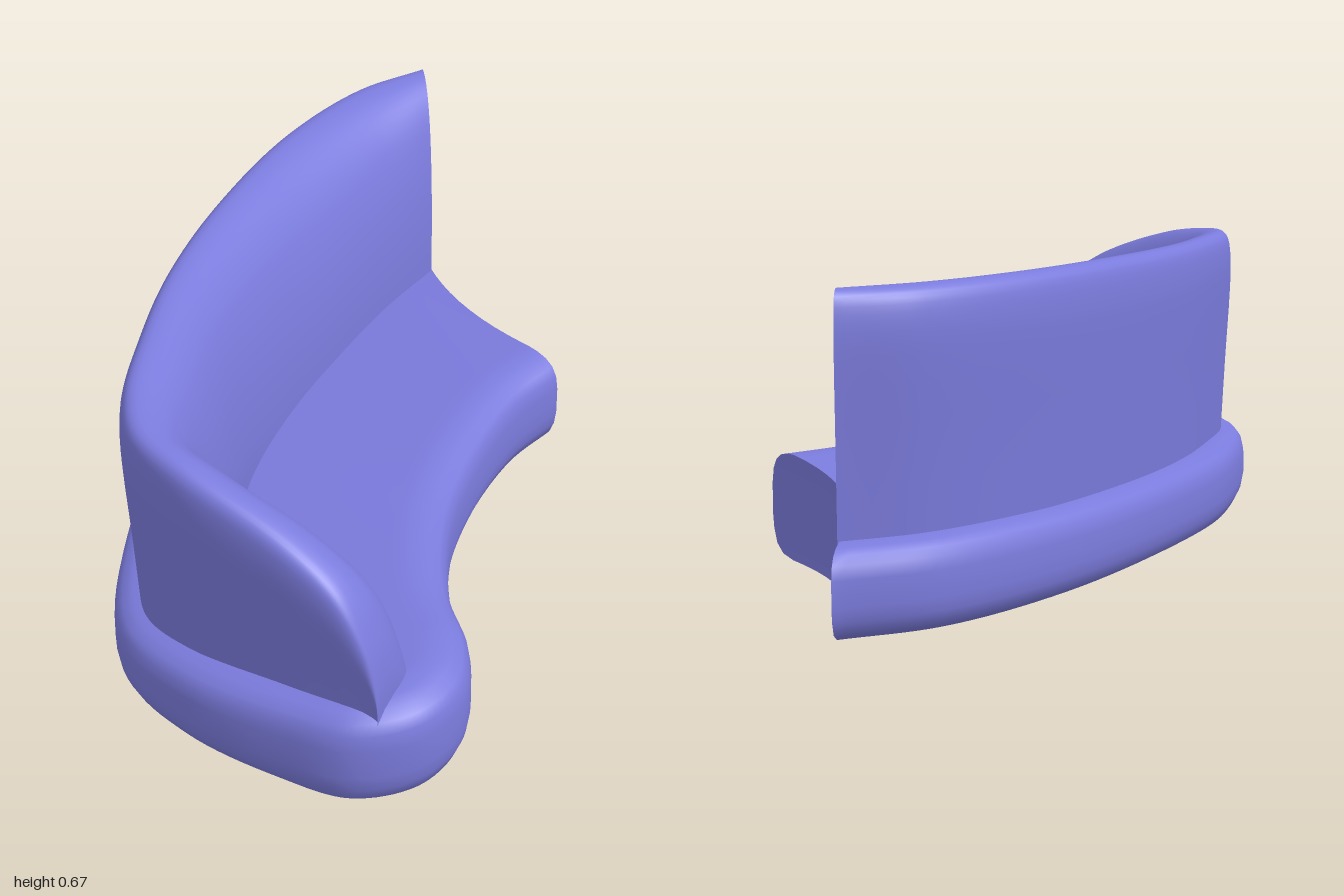
import * as THREE from 'three';
import { mergeVertices } from 'three/addons/utils/BufferGeometryUtils.js';

const V = (x, y, z) => new THREE.Vector3(x, y, z);

// Smooth surface through a grid of points (rows of equal length)
function gridGeometry(rows) {
  const n = rows[0].length, index = [];
  for (let i = 0; i < rows.length - 1; i++) {
    for (let j = 0; j < n - 1; j++) {
      const a = i * n + j, c = a + n;
      index.push(a, a + 1, c + 1, a, c + 1, c);
    }
  }
  let g = new THREE.BufferGeometry().setFromPoints(rows.flat());
  g.setIndex(index);
  g = mergeVertices(g, 1e-5);
  g.computeVertexNormals();
  return g;
}

const spline = (pts) => new THREE.CatmullRomCurve3(pts, false, 'centripetal');

export function createModel() {
  const group = new THREE.Group();
  const fabric = new THREE.MeshStandardMaterial({ color: 0x7b7bdd, side: THREE.DoubleSide });
  fabric.name = 'periwinkle fabric';
  const add = (name, geometry) => {
    const mesh = new THREE.Mesh(geometry, fabric);
    mesh.name = name;
    group.add(mesh);
  };

  // Seat outline [x, top height, z]: inner cut corner, round the tip, outer cut corner
  const outline = spline([
    [.448, .235, -.29], [.367, .235, -.16], [.297, .232, .05], [.26, .23, .29], [.285, .237, .54],
    [.342, .245, .7], [.345, .246, .83], [.275, .245, .945], [.14, .24, 1], [-.02, .228, .96],
    [-.23, .208, .86], [-.385, .19, .71], [-.45, .187, .34], [-.425, .187, 0], [-.315, .187, -.48],
    [-.145, .187, -.84], [.02, .187, -1],
  ].map((p) => V(...p)));
  const N = 129, M = (N - 1) / 2;
  const edge = [], inward = [];
  // Inset runs along the cut at its two corners and turns square to the outline further on
  const cutInner = V(-.8, 0, -.64), cutOuter = V(.19, 0, 1.03);
  for (let j = 0; j < N; j++) {
    edge.push(outline.getPoint(j / (N - 1)));
    const t = outline.getTangent(j / (N - 1));
    const fromCut = Math.min(j, N - 1 - j);
    const blend = 1 - THREE.MathUtils.smoothstep(fromCut, 0, 20);
    inward.push(V(-t.z, 0, t.x).normalize().lerp(j < M ? cutInner : cutOuter, blend));
  }

  // Cushion edge, top to bottom: [inset, fraction of height]
  const rings = [[.1, 1], [.07, .995], [.042, .968], [.02, .91], [.007, .82], [.001, .68], [0, .4],
    [.005, .25], [.018, .11], [.045, .03], [.09, 0]].map(([d, f]) =>
    edge.map((p, j) => V(p.x + inward[j].x * d, p.y * f, p.z + inward[j].z * d)));

  // Point between the two sides of the seat, on a parabola that is concave at the cut
  const across = (ring, j, u) => {
    const p = ring[j], q = ring[N - 1 - j];
    const fade = Math.pow(1 - Math.min(j, N - 1 - j) / M, 3);
    const bow = 4 * u * (1 - u) * fade * p.distanceToSquared(q);
    return p.clone().lerp(q, u).add(V(-.118 * bow, 0, .07 * bow));
  };
  const fill = (ring) => [.5, .42, .34, .26, .18, .1, .04].map((u) => ring.map((_, j) => across(ring, j, u)));
  add('seat', gridGeometry([...fill(rings[0]), ...rings, ...fill(rings[rings.length - 1]).reverse()]));

  // Concave end face of the seat
  add('seatEnd', gridGeometry(rings.map((ring) =>
    Array.from({ length: 25 }, (_, k) => across(ring, 0, 1 - k / 24)))));

  // Backrest stations running into the arm: [outer x, outer z, inner x, inner z, top height]
  const stations = [
    [.035, -.935, .095, -.71, .662], [-.1, -.81, 0, -.5, .664], [-.24, -.55, -.08, -.28, .667],
    [-.345, -.18, -.143, -.08, .669], [-.39, .12, -.19, .15, .669], [-.395, .35, -.2, .35, .668],
    [-.38, .58, -.19, .54, .666], [-.335, .7, -.15, .63, .662], [-.22, .8, -.05, .69, .646],
    [-.02, .895, .1, .74, .58], [.1, .942, .185, .775, .5], [.16, .96, .22, .805, .4],
    [.187, .966, .235, .828, .3], [.192, .967, .237, .832, .2],
  ];
  const outer = spline(stations.map((s) => V(s[0], s[4], s[1])));
  const inner = spline(stations.map((s) => V(s[2], s[4], s[3])));

  // Padded cross-section, inner foot to outer foot: [fraction across, fraction of height]
  const section = spline([[1, 0], [.99, .24], [.94, .45], [.84, .65], [.69, .82], [.52, .925], [.35, .98],
    [.2, 1], [.07, .995], [0, .96], [-.03, .88], [-.03, .75], [.02, .4], [.07, 0]]
    .map(([u, v]) => V(u, v, 0))).getPoints(39);
  const base = .14;
  const shell = [];
  for (let i = 0; i <= 104; i++) {
    const o = outer.getPoint(i / 104), n = inner.getPoint(i / 104);
    shell.push(section.map((s) => {
      const p = o.clone().lerp(n, s.x);
      p.y = base + (p.y - base) * s.y;
      return p;
    }));
  }
  add('backrestAndArm', gridGeometry(shell));

  return group;
}
